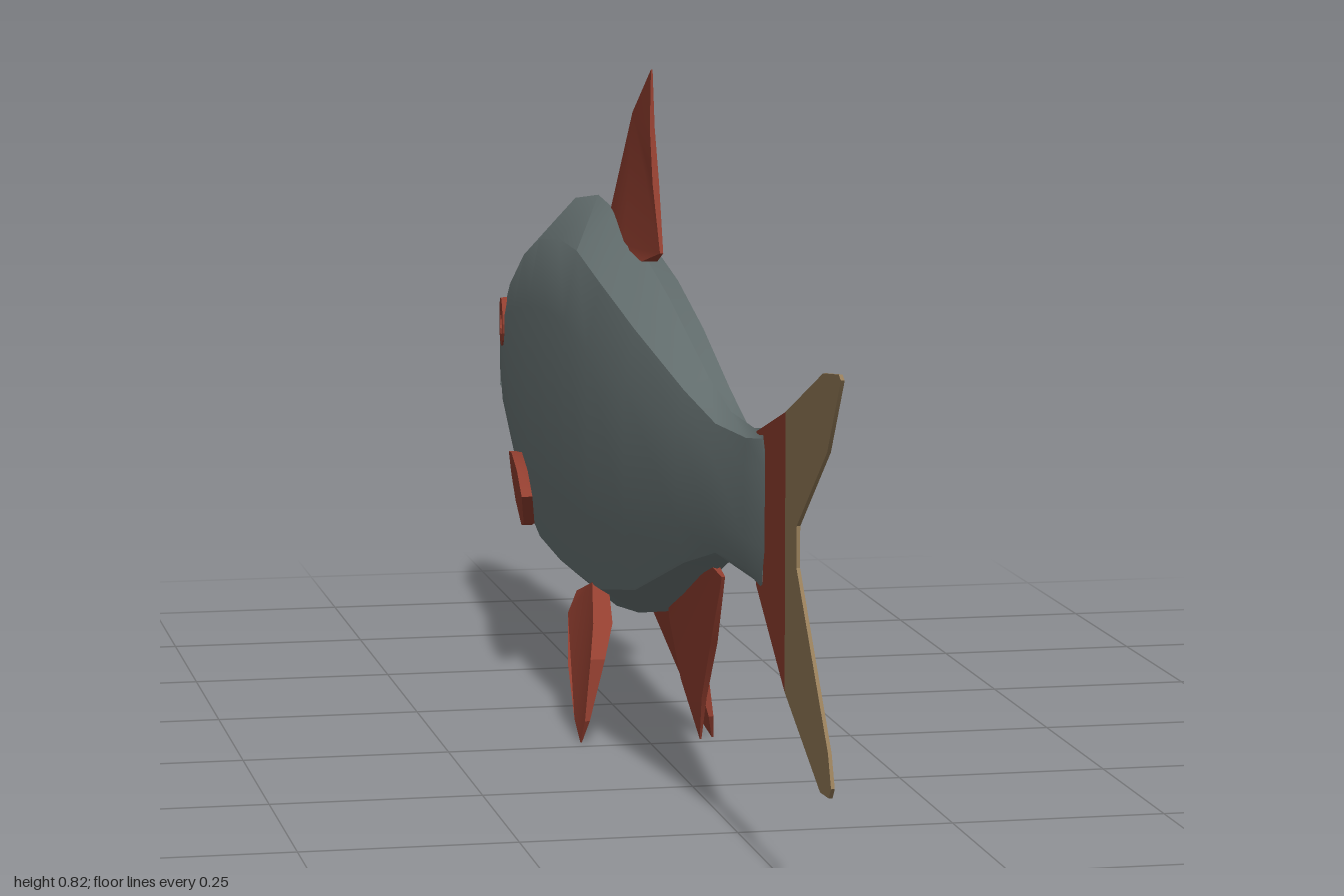
import * as THREE from 'three';
import { toCreasedNormals } from 'three/addons/utils/BufferGeometryUtils.js';

const bodyGrey = new THREE.MeshStandardMaterial({ name: 'bodyGrey', color: 0x6a7676 });
const finRed = new THREE.MeshStandardMaterial({ name: 'finRed', color: 0x933f30 });
const tailTan = new THREE.MeshStandardMaterial({ name: 'tailTan', color: 0x967d59 });

function build(positions, index, crease) {
  const g = new THREE.BufferGeometry();
  g.setAttribute('position', new THREE.Float32BufferAttribute(positions, 3));
  g.setIndex(index);
  return toCreasedNormals(g, crease);
}

// Skin over rings of points running top -> +x -> bottom -> -x, ordered by rising z
function loft(rings) {
  const n = rings[0].length, index = [];
  for (let i = 0; i < rings.length - 1; i++) {
    for (let j = 0; j < n; j++) {
      const a = i * n + j, b = i * n + (j + 1) % n;
      index.push(a, a + n, b, b, a + n, b + n);
    }
  }
  const last = (rings.length - 1) * n;
  for (let j = 1; j < n - 1; j++) index.push(0, j, j + 1, last, last + j + 1, last + j);
  return build(rings.flat(2), index, 0.58);
}

// Closed ring from its right half, whose first and last points lie on x = 0
function mirrorRing(half) {
  return [...half, ...half.slice(1, -1).reverse().map(([x, y, z]) => [-x, y, z])];
}

// Fin from outline points [z, y, half thickness, x centre]
function fin(points, side = 1) {
  let pts = points.map(([z, y, h = 0.002, x = 0]) => ({ z, y, h, x: x * side }));
  let outline = pts.map(p => new THREE.Vector2(p.z, p.y));
  if (THREE.ShapeUtils.isClockWise(outline)) {
    pts = pts.reverse();
    outline = outline.reverse();
  }
  const n = pts.length, index = [];
  const positions = [-1, 1].flatMap(s => pts.flatMap(p => [p.x + s * p.h, p.y, p.z]));
  for (const [a, b, c] of THREE.ShapeUtils.triangulateShape(outline, [])) {
    index.push(a, b, c, a + n, c + n, b + n);
  }
  for (let a = 0; a < n; a++) {
    const b = (a + 1) % n;
    index.push(a, a + n, b, a + n, b + n, b);
  }
  return build(positions, index, 0.5);
}

export function createModel() {
  const fish = new THREE.Group();
  fish.name = 'fish';
  const add = (name, geometry, material) => {
    const mesh = new THREE.Mesh(geometry, material);
    mesh.name = name;
    fish.add(mesh);
    return mesh;
  };

  // Body stations: z, half width, back, shoulder, belly edge, keel
  const stations = [
    [-0.935, 0.026, 0.44, 0.43, 0.32, 0.302],
    [-0.82, 0.042, 0.505, 0.476, 0.268, 0.24],
    [-0.65, 0.056, 0.58, 0.535, 0.207, 0.18],
    [-0.5, 0.064, 0.625, 0.572, 0.182, 0.14],
    [-0.34, 0.067, 0.645, 0.59, 0.178, 0.135],
    [-0.22, 0.067, 0.637, 0.588, 0.18, 0.138],
    [-0.075, 0.065, 0.61, 0.565, 0.186, 0.155],
    [0.11, 0.055, 0.567, 0.53, 0.217, 0.19],
    [0.33, 0.036, 0.505, 0.487, 0.287, 0.272],
    [0.46, 0.024, 0.48, 0.467, 0.32, 0.31],
    [0.58, 0.012, 0.479, 0.468, 0.322, 0.31],
    [0.635, 0.004, 0.487, 0.475, 0.318, 0.306],
  ];
  add('body', loft(stations.map(([z, w, top, s, b, keel], i) => {
    const d = s - b, bulge = i === stations.length - 1 ? 0.018 : 0;
    return mirrorRing([
      [0, top, z], [w * 0.75, s, z], [w, s - d * 0.22, z + bulge],
      [w, b + d * 0.24, z + bulge], [w * 0.75, b, z], [0, keel, z],
    ]);
  })), bodyGrey);

  // Jaws with an open wedge of mouth between them
  const jaw = rows => loft(rows.map(([z, w, top, upper, lower, base]) =>
    mirrorRing([[0, top, z], [w * 0.8, upper, z], [w, lower, z], [0, base, z]])));
  add('upperJaw', jaw([
    [-1, 0.012, 0.39, 0.384, 0.376, 0.373],
    [-0.975, 0.019, 0.418, 0.407, 0.362, 0.36],
    [-0.935, 0.026, 0.44, 0.43, 0.345, 0.343],
  ]), bodyGrey);
  add('lowerJaw', jaw([
    [-0.997, 0.01, 0.361, 0.36, 0.35, 0.342],
    [-0.975, 0.018, 0.353, 0.352, 0.338, 0.322],
    [-0.935, 0.026, 0.343, 0.342, 0.322, 0.302],
  ]), bodyGrey);

  // Tail: red root and tan forked lobes
  add('tailRoot', fin([
    [0.6, 0.478], [0.635, 0.488], [0.745, 0.52], [0.745, 0.215], [0.6, 0.308],
  ]), finRed);
  add('tailLobes', fin([
    [0.745, 0.52], [0.92, 0.585], [0.99, 0.593], [1, 0.588], [0.94, 0.505], [0.8, 0.405],
    [0.8, 0.36], [0.95, 0.19], [0.965, 0.155], [0.955, 0.143], [0.915, 0.141], [0.745, 0.215],
  ]), tailTan);

  // Fins on the centre line, thick at the root
  add('dorsalFin', fin([
    [0.005, 0.83, 0.001], [-0.1, 0.77, 0.003], [-0.25, 0.638, 0.001], [-0.12, 0.605, 0.01],
    [-0.01, 0.597, 0.01], [0.065, 0.615, 0.002], [0.03, 0.695, 0.004], [0.008, 0.76, 0.003],
  ]), finRed);
  add('analFin', fin([
    [0.42, 0.285, 0.002], [0.29, 0.3, 0.01], [0.12, 0.205, 0.003], [0.125, 0.185, 0.003],
    [0.2, 0.125, 0.004], [0.295, 0.072, 0.001], [0.315, 0.125, 0.003], [0.37, 0.2, 0.004],
    [0.41, 0.265, 0.002],
  ]), finRed);

  for (const side of [1, -1]) {
    const label = side > 0 ? 'left' : 'right';

    // Paired belly fins, curving outward as they hang
    add(label + 'PelvicFin', fin([
      [-0.12, 0.187, 0.01, 0.04], [-0.215, 0.16, 0.01, 0.042], [-0.2, 0.135, 0.012, 0.054],
      [-0.14, 0.08, 0.009, 0.068], [-0.075, 0.025, 0.004, 0.077], [-0.025, 0.006, 0.001, 0.082],
      [-0.01, 0.035, 0.003, 0.077], [-0.015, 0.11, 0.009, 0.063], [-0.05, 0.148, 0.012, 0.05],
    ], side), finRed);

    // Paired side fins, flaring outward to the rear
    const pectoral = [
      [-0.375, 0.255], [-0.43, 0.28], [-0.555, 0.285], [-0.655, 0.272],
      [-0.665, 0.24], [-0.625, 0.21], [-0.515, 0.195], [-0.42, 0.213],
    ].map(([z, y]) => [z, y, 0.007, 0.052 + (z + 0.66) * 0.12 + (y - 0.25) * 0.12]);
    add(label + 'PectoralFin', fin(pectoral, side), finRed);

    // Eye ring set into the side of the head
    const ring = new THREE.Shape().absarc(0, 0, 0.033, 0, Math.PI * 2);
    ring.holes.push(new THREE.Path().absarc(0, 0, 0.018, 0, Math.PI * 2, true));
    const eye = add(label + 'EyeRing', new THREE.ExtrudeGeometry(ring,
      { depth: 0.009, bevelEnabled: false, curveSegments: 8 }), finRed);
    eye.position.set(side * 0.035, 0.425, -0.82);
    eye.rotation.y = side * (Math.PI / 2 + 0.1);
  }
  return fish;
}
